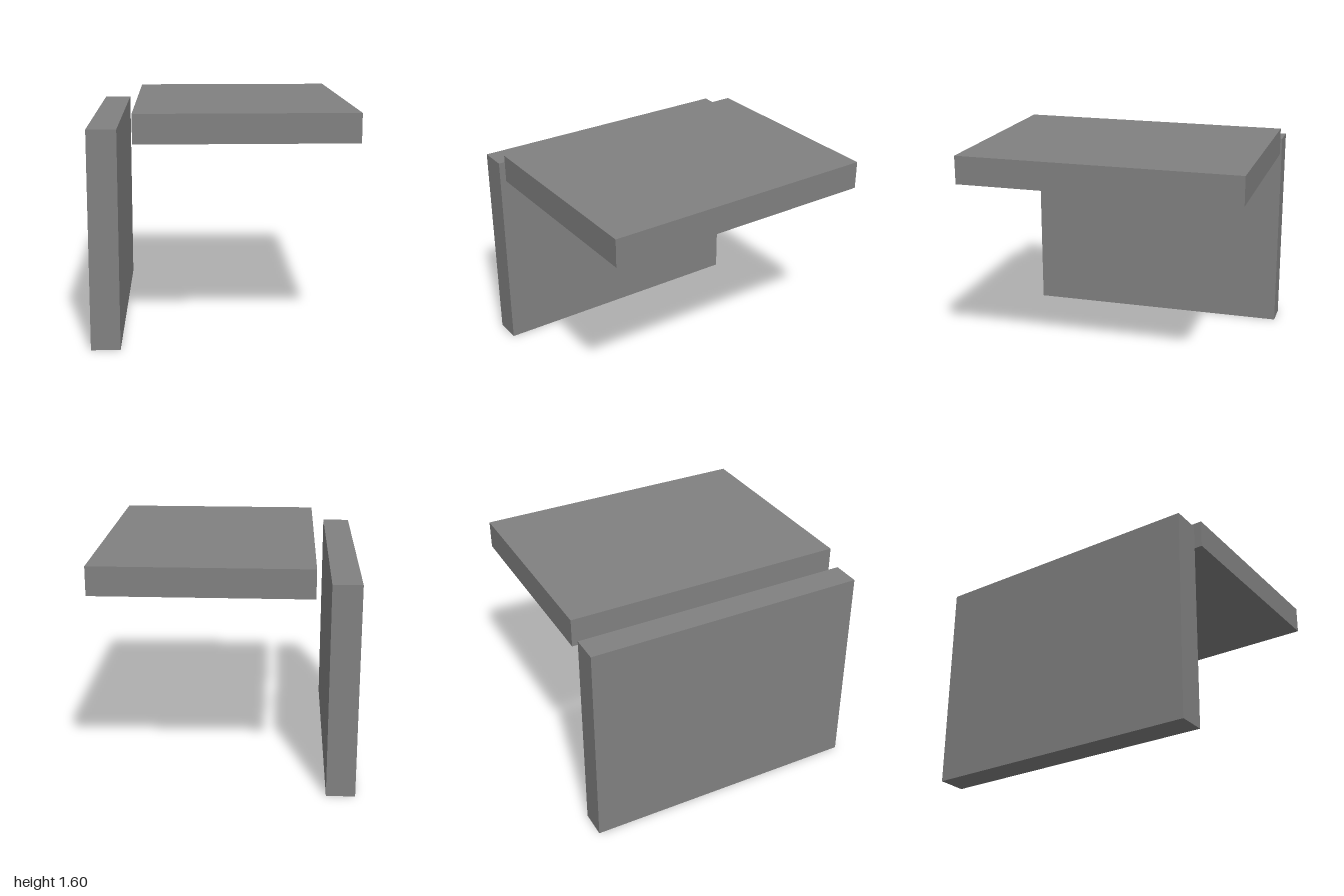
import * as THREE from 'three';

export function createModel() {
  const model = new THREE.Group();
  model.name = 'slabs';
  const grey = new THREE.MeshStandardMaterial({ color: 0x808080 });
  grey.name = 'grey';

  function slab(name, width, height, depth, x, y) {
    const mesh = new THREE.Mesh(new THREE.BoxGeometry(width, height, depth), grey);
    mesh.name = name;
    mesh.position.set(x, y, 0);
    model.add(mesh);
  }

  // Upright side panel, standing on the ground
  slab('sidePanel', 0.2, 1.5, 2, -0.8, 0.75);
  // Horizontal top panel, set apart from the side panel by a gap
  slab('topPanel', 1.5, 0.2, 2, 0.15, 1.5);

  return model;
}
